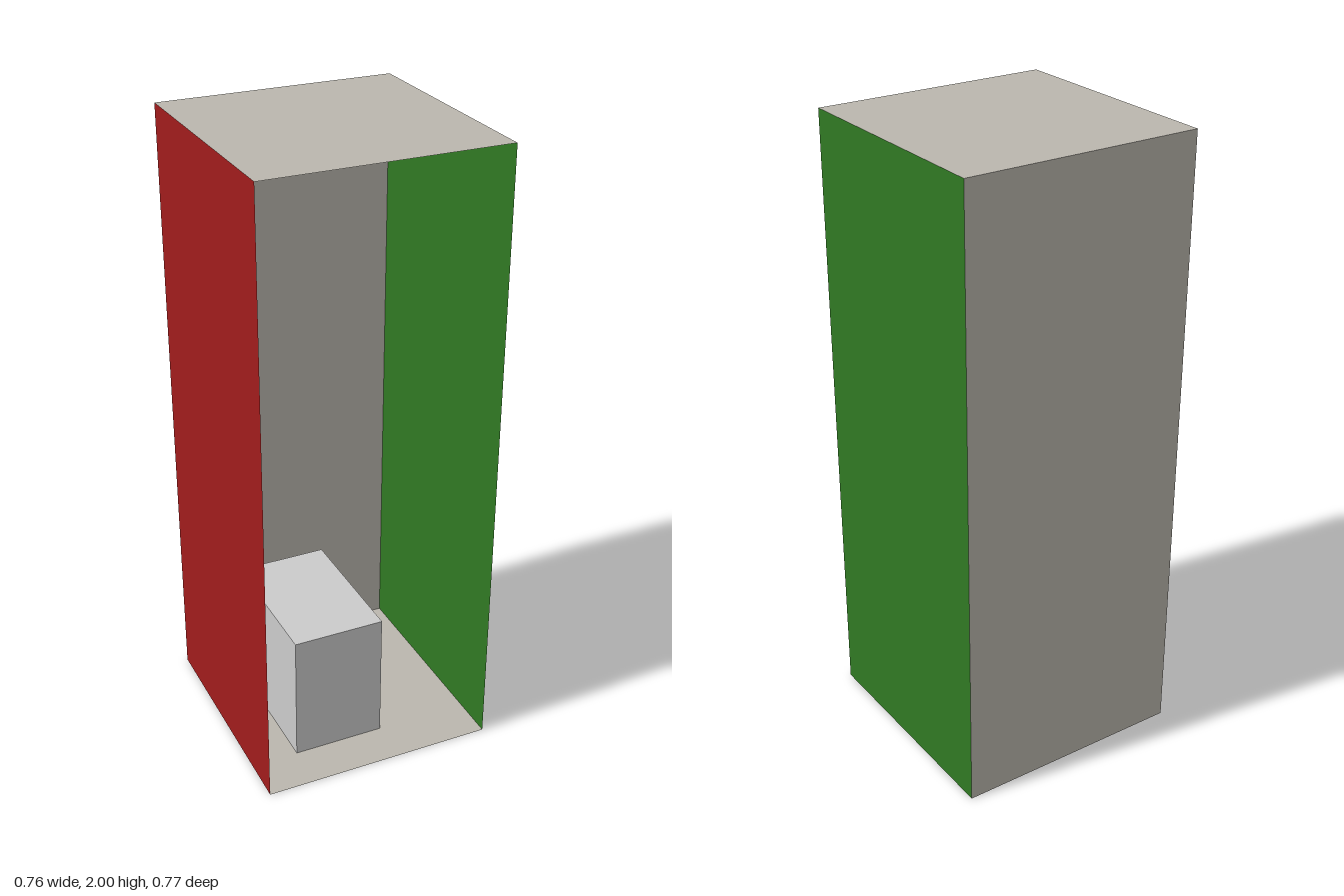
import * as THREE from 'three';

const W = 0.382, D = 0.384, H = 2;

// Thin panel through four corners, visible from both sides
function panel(name, color, corners) {
  const geometry = new THREE.BufferGeometry();
  geometry.setAttribute('position', new THREE.Float32BufferAttribute(corners.flat(), 3));
  geometry.setIndex([0, 1, 2, 0, 2, 3]);
  geometry.computeVertexNormals();
  const mesh = new THREE.Mesh(geometry, new THREE.MeshStandardMaterial({ color, side: THREE.DoubleSide }));
  mesh.name = name;
  return mesh;
}

export function createModel() {
  const room = new THREE.Group();
  room.name = 'openRoom';
  const stone = 0xbbb7ae, red = 0xa11c1c, green = 0x307923;

  // Room corners; the floor is slightly narrower on the right side
  const floorFR = [-W + 0.004, 0, D], floorBR = [-W + 0.009, 0, -D];
  const floorFL = [W, 0, D], floorBL = [W, 0, -D];
  const topFR = [-W, H, D], topBR = [-W, H, -D];
  const topFL = [W, H, D], topBL = [W, H, -D];

  // Shell, open at the front
  room.add(
    panel('floor', stone, [floorFR, floorFL, floorBL, floorBR]),
    panel('ceiling', stone, [topFR, topFL, topBL, topBR]),
    panel('backWall', stone, [floorBR, floorBL, topBL, topBR]),
    panel('rightWall', red, [floorBR, floorFR, topFR, topBR]),
    panel('leftWall', green, [floorFL, floorBL, topBL, topFL]),
  );

  // Block standing on the floor
  const block = new THREE.Mesh(
    new THREE.BoxGeometry(0.3, 0.43, 0.466),
    new THREE.MeshStandardMaterial({ color: 0xcccccc }),
  );
  block.name = 'block';
  block.position.set(-0.073, 0.215, 0.004);
  room.add(block);

  return room;
}
